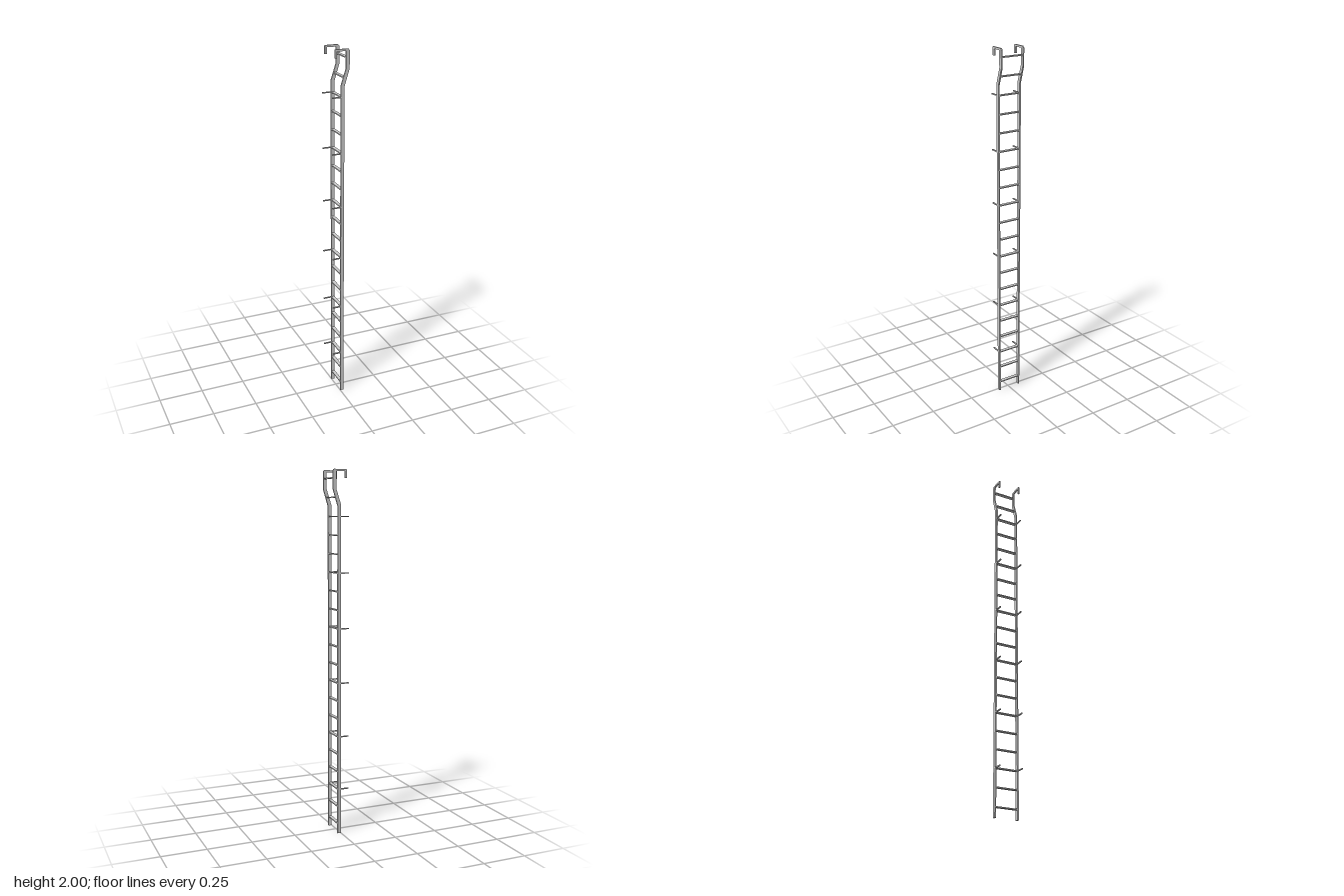
import * as THREE from 'three';

export function createModel() {
  const model = new THREE.Group();
  const material = new THREE.MeshStandardMaterial({ color: 0xcccccc, flatShading: true });
  const railZ = 0.065, railWidth = 0.008, depth = 0.019;

  const add = (name, geometry, x, y, z) => {
    const mesh = new THREE.Mesh(geometry, material);
    mesh.name = name;
    mesh.position.set(x, y, z);
    model.add(mesh);
  };

  // Side rail profile: straight bar, outward bend and hook over the top
  const profile = new THREE.Shape([
    [0, 0], [depth, 0], [depth, 1.81], [0.047, 1.9], [0.047, 1.992], [0.04, 2],
    [-0.031, 2], [-0.034, 1.996], [-0.034, 1.955], [-0.022, 1.955], [-0.022, 1.989],
    [0.028, 1.989], [0.028, 1.9], [0, 1.815],
  ].map(([x, y]) => new THREE.Vector2(x, y)));
  const rail = new THREE.ExtrudeGeometry(profile, { depth: railWidth, bevelEnabled: false });
  rail.translate(0, 0, -railWidth / 2);

  // Wall pegs sticking out from the back of each rail
  const peg = new THREE.BoxGeometry(0.049, 0.006, 0.007);
  for (const side of [-1, 1]) {
    add('sideRail', rail, 0, 0, side * railZ);
    for (let i = 0; i < 6; i++) add('wallPeg', peg, -0.0225, 0.255 + i * 0.3, side * railZ);
  }

  // Rungs, following the bend of the rails near the top
  const rung = new THREE.BoxGeometry(depth, 0.006, 2 * railZ - railWidth);
  for (let i = 0; i < 20; i++) {
    const y = 0.055 + i * 0.1;
    const bend = 0.028 * THREE.MathUtils.clamp((y - 1.812) / 0.088, 0, 1);
    add('rung', rung, depth / 2 + bend, y, 0);
  }
  return model;
}
